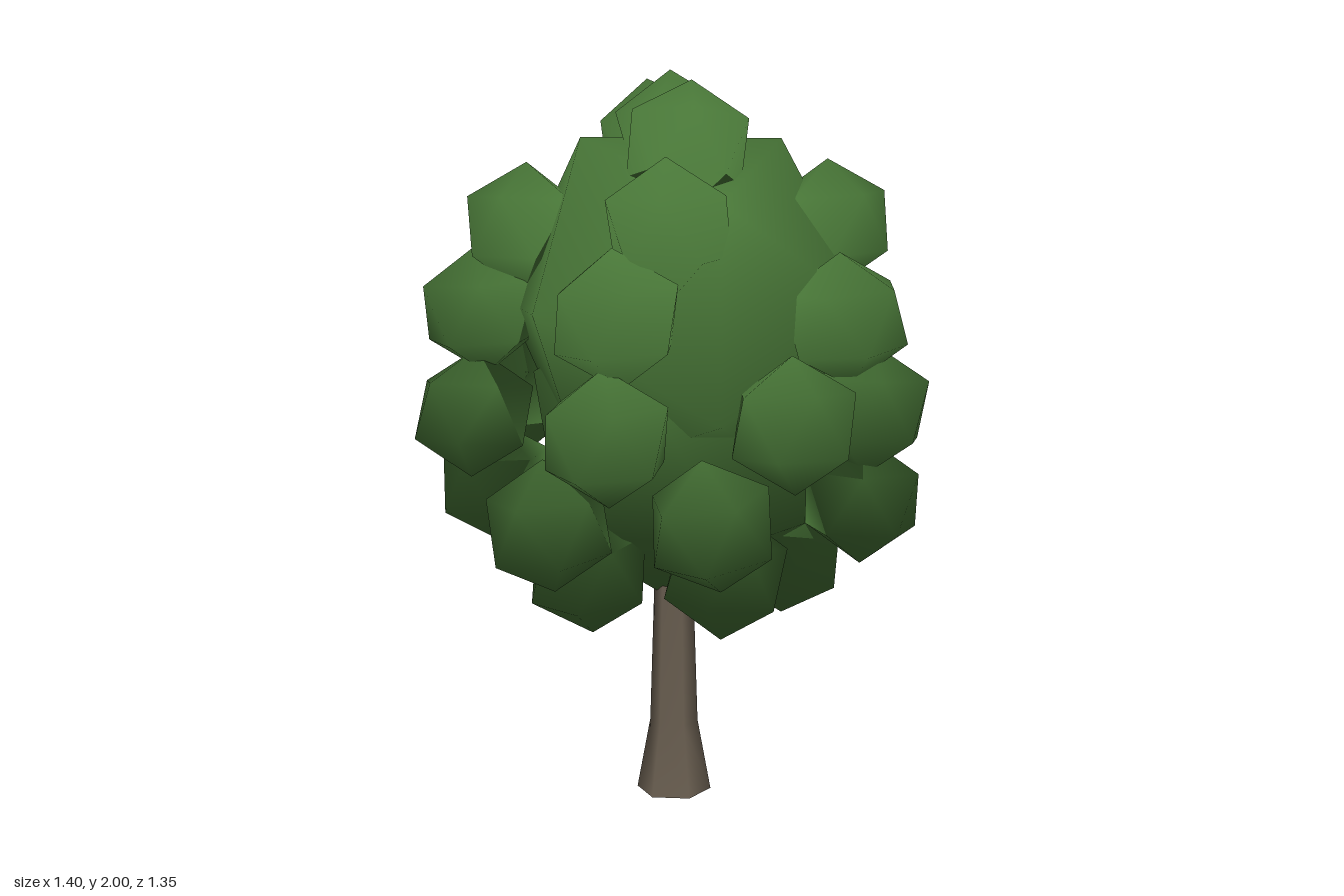
import * as THREE from 'three';

const CANOPY_CENTER = new THREE.Vector3(0, 1.2, 0);

function seeded(seed) {
  return () => {
    seed = (seed * 16807) % 2147483647;
    return seed / 2147483647;
  };
}

// Twenty-sided blob whose soft normals lean away from the canopy centre
function blobGeometry(center, radius, rotation, cornerUp) {
  const g = new THREE.IcosahedronGeometry(radius, 0);
  if (cornerUp) g.rotateZ(-Math.atan(2 / (1 + Math.sqrt(5))));
  g.applyQuaternion(new THREE.Quaternion().setFromEuler(rotation));
  const pos = g.getAttribute('position');
  const nor = g.getAttribute('normal');
  const own = new THREE.Vector3();
  const outward = new THREE.Vector3();
  for (let i = 0; i < pos.count; i++) {
    own.fromBufferAttribute(pos, i);
    outward.copy(own).add(center).sub(CANOPY_CENTER).normalize();
    own.normalize().lerp(outward, 0.72).normalize();
    nor.setXYZ(i, own.x, own.y, own.z);
  }
  return g;
}

// Leaf clumps as [x, y, z], in tiers from the lowest up
const TIERS = [
  [[-0.29, 0.67, 0.12], [0.03, 0.68, 0.35], [0.3, 0.68, 0.1], [0.17, 0.67, -0.23], [-0.18, 0.67, -0.23]],
  [[-0.42, 0.86, 0.34], [0.09, 0.83, 0.52], [0.44, 0.85, 0.27], [0.43, 0.855, -0.27], [-0.04, 0.82, -0.47],
    [-0.48, 0.84, -0.12]],
  [[-0.3, 1.08, 0.49], [0.31, 1.08, 0.5], [0.54, 1.1, 0.085], [0.48, 1.11, -0.24],
    [-0.03, 1.09, -0.51], [-0.4, 1.1, -0.36], [-0.55, 1.09, 0.15]],
  [[-0.3, 1.36, 0.46], [0.3, 1.37, 0.46], [0.48, 1.35, -0.15], [-0.04, 1.34, -0.46], [-0.51, 1.38, -0.09]],
  [[-0.22, 1.58, 0.37], [0.31, 1.59, 0.3], [0.26, 1.59, -0.31], [-0.28, 1.6, -0.22]],
  [[0.2, 1.79, 0.15], [0.01, 1.825, 0.03], [-0.2, 1.815, -0.07]],
];

export function createModel() {
  const tree = new THREE.Group();
  tree.name = 'tree';

  const leafGreen = new THREE.MeshStandardMaterial({ color: 0x487637 });
  leafGreen.name = 'leafGreen';
  const barkBrown = new THREE.MeshStandardMaterial({ color: 0x695e50, side: THREE.DoubleSide });
  barkBrown.name = 'barkBrown';

  // Trunk: six-sided, flared foot, open ends
  const profile = [[0.104, 0], [0.067, 0.2], [0.056, 0.55], [0.045, 0.95]]
    .map(([r, y]) => new THREE.Vector2(r, y));
  const trunk = new THREE.Mesh(new THREE.LatheGeometry(profile, 6, -Math.PI / 4), barkBrown);
  trunk.name = 'trunk';
  trunk.position.set(0.018, 0, 0.047);
  tree.add(trunk);

  // Canopy: two large cores wrapped in small clumps
  const canopy = new THREE.Group();
  canopy.name = 'canopy';
  tree.add(canopy);
  const addBlob = (name, [x, y, z], radius, [tilt, turn, roll], cornerUp) => {
    const center = new THREE.Vector3(x, y, z);
    const rotation = new THREE.Euler(tilt, turn, roll);
    const mesh = new THREE.Mesh(blobGeometry(center, radius, rotation, cornerUp), leafGreen);
    mesh.name = name;
    mesh.position.copy(center);
    canopy.add(mesh);
  };
  addBlob('lowerCore', [0, 0.98, 0], 0.46, [0, 0.3, 0], true);
  addBlob('upperCore', [0.01, 1.37, 0.01], 0.53, [0, 1.1, 0], false);

  const random = seeded(71);
  const wobble = () => (random() - 0.5) * 0.25;
  TIERS.forEach((tier, i) => tier.forEach((p, j) => {
    const turn = random() * Math.PI * 2;
    addBlob(`leafClump${i + 1}_${j + 1}`, p, 0.176, [wobble(), turn, wobble()], true);
  }));

  return tree;
}
